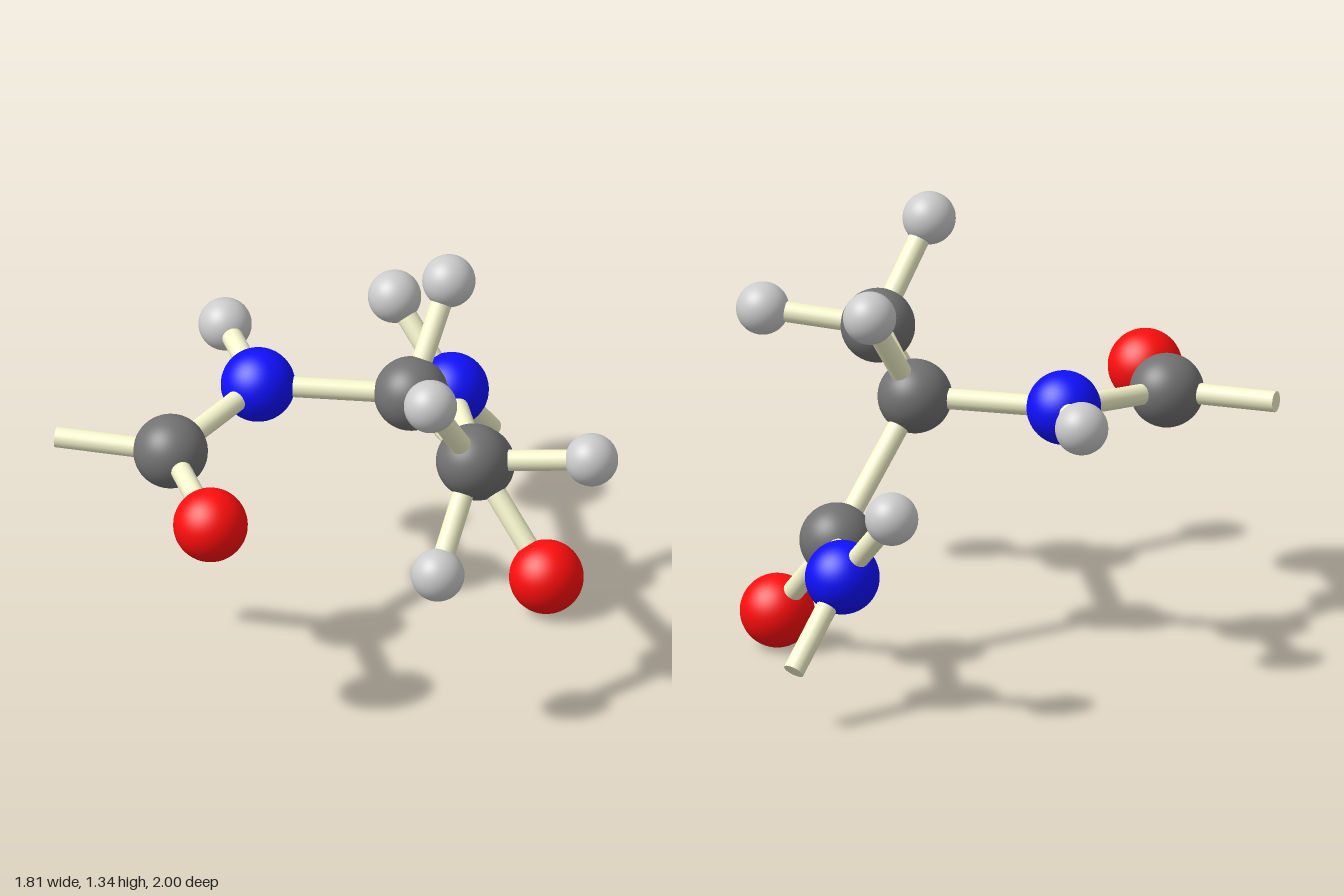
import * as THREE from 'three';

const BIG = 0.126, SMALL = 0.09, BOND = 0.036;

const kinds = {
  carbon: { radius: BIG, color: 0x727272 },
  nitrogen: { radius: BIG, color: 0x1010ff },
  oxygen: { radius: BIG, color: 0xff0d0d },
  hydrogen: { radius: SMALL, color: 0xcccccc },
};

// Atom centres: name -> [kind, x, y, z]
const atoms = {
  centralCarbon: ['carbon', -0.06, 0.88, -0.127],
  centralHydrogen: ['hydrogen', -0.123, 1.21, -0.345],
  methylCarbon: ['carbon', 0.52, 0.935, 0.085],
  methylHydrogenTop: ['hydrogen', 0.588, 1.255, 0.33],
  methylHydrogenSide: ['hydrogen', 0.81, 0.963, -0.192],
  methylHydrogenBottom: ['hydrogen', 0.61, 0.615, 0.316],
  frontNitrogen: ['nitrogen', -0.437, 0.882, 0.23],
  frontHydrogen: ['hydrogen', -0.778, 0.925, 0.09],
  frontCarbon: ['carbon', -0.331, 0.834, 0.703],
  frontOxygen: ['oxygen', 0.081, 0.78, 0.872],
  backCarbon: ['carbon', -0.142, 0.455, -0.487],
  backOxygen: ['oxygen', 0.162, 0.13, -0.535],
  backNitrogen: ['nitrogen', -0.566, 0.48, -0.727],
  backHydrogen: ['hydrogen', -0.816, 0.747, -0.686],
};

// Each bond joins an atom to another atom, or to the open end of a cut chain
const bonds = [
  ['centralCarbon', 'centralHydrogen'],
  ['centralCarbon', 'methylCarbon'],
  ['centralCarbon', 'frontNitrogen'],
  ['centralCarbon', 'backCarbon'],
  ['methylCarbon', 'methylHydrogenTop'],
  ['methylCarbon', 'methylHydrogenSide'],
  ['methylCarbon', 'methylHydrogenBottom'],
  ['frontNitrogen', 'frontHydrogen'],
  ['frontNitrogen', 'frontCarbon'],
  ['frontCarbon', 'frontOxygen'],
  ['frontCarbon', [-0.648, 0.84, 0.94]],
  ['backCarbon', 'backOxygen'],
  ['backCarbon', 'backNitrogen'],
  ['backNitrogen', 'backHydrogen'],
  ['backNitrogen', [-0.655, 0.213, -0.975]],
];

const point = (p) => new THREE.Vector3(...(Array.isArray(p) ? p : atoms[p].slice(1)));

export function createModel() {
  const model = new THREE.Group();
  model.name = 'molecule';

  // Atoms, sharing one geometry and material per kind
  const parts = {};
  for (const [kind, { radius, color }] of Object.entries(kinds)) {
    parts[kind] = {
      geometry: new THREE.SphereGeometry(radius, 40, 28),
      material: new THREE.MeshStandardMaterial({ color }),
    };
  }
  for (const [name, [kind]] of Object.entries(atoms)) {
    const atom = new THREE.Mesh(parts[kind].geometry, parts[kind].material);
    atom.name = name;
    atom.position.copy(point(name));
    model.add(atom);
  }

  // Bond sticks
  const stickMaterial = new THREE.MeshStandardMaterial({ color: 0xf5f5cc });
  const up = new THREE.Vector3(0, 1, 0);
  for (const [from, to] of bonds) {
    const a = point(from), b = point(to);
    const along = b.clone().sub(a);
    const stick = new THREE.Mesh(
      new THREE.CylinderGeometry(BOND, BOND, along.length(), 20), stickMaterial);
    stick.name = Array.isArray(to) ? `${from}OpenBond` : `${from}To${to[0].toUpperCase()}${to.slice(1)}Bond`;
    stick.position.copy(a).add(b).multiplyScalar(0.5);
    stick.quaternion.setFromUnitVectors(up, along.normalize());
    model.add(stick);
  }
  return model;
}
